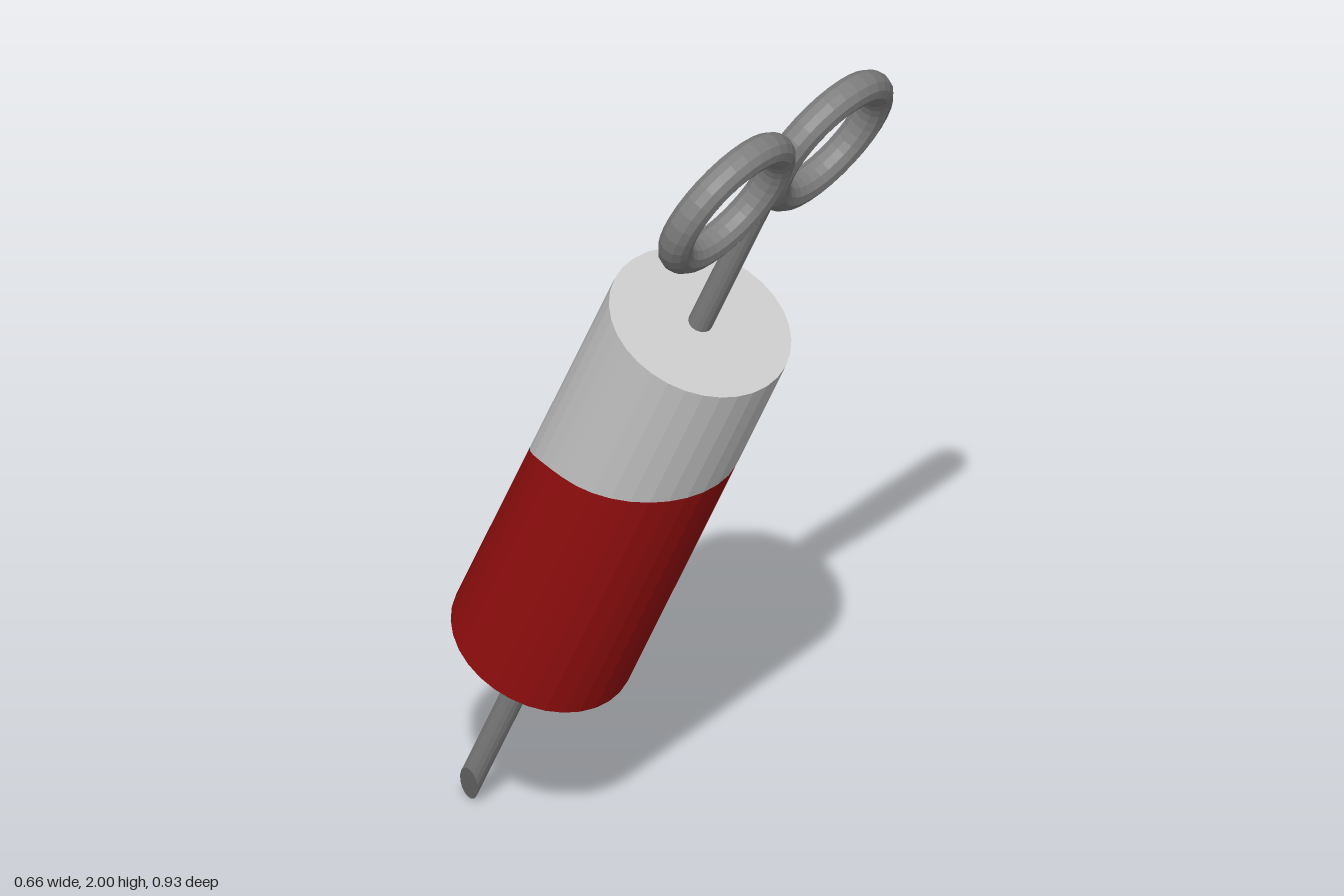
import * as THREE from 'three';

const TILT = 0.422;       // lean of the whole syringe towards the front
const BARREL_R = 0.191;
const HALF = 0.503;       // half length of the barrel
const ROD_R = 0.025;

const material = (color) => new THREE.MeshStandardMaterial({ color, flatShading: true });

function addMesh(parent, name, geometry, mat) {
  const mesh = new THREE.Mesh(geometry, mat);
  mesh.name = name;
  parent.add(mesh);
  return mesh;
}

// Height of the slanted liquid line on the barrel wall, dropping at the back
const liquidLevel = (x, z) => 0.118 + 0.37 * z + 0.05 * x - 15 * Math.pow(Math.max(0, -z), 3);

// Cylinder whose top (sign 1) or bottom (sign -1) end follows a height rule
function shapedCylinder(radius, sides, open, sign, otherEnd, rule) {
  const geo = new THREE.CylinderGeometry(radius, radius, 1, sides, 1, open);
  const p = geo.attributes.position;
  for (let i = 0; i < p.count; i++) {
    const shaped = p.getY(i) * sign > 0;
    p.setY(i, shaped ? rule(p.getX(i), p.getZ(i)) : otherEnd);
  }
  geo.computeVertexNormals();
  return geo;
}

export function createModel() {
  const model = new THREE.Group();
  model.name = 'syringe';
  const syringe = new THREE.Group();
  syringe.name = 'tiltedBody';
  syringe.position.set(0, 0.939, -0.034);
  syringe.rotation.x = TILT;
  model.add(syringe);

  const grey = material(0xcccccc);
  const red = material(0x990f10);
  const metal = material(0x808080);

  // Barrel: empty upper part and filled lower part meet at the liquid line
  const sections = [
    ['emptyBarrel', -1, HALF, grey],
    ['liquid', 1, -HALF, red],
  ];
  for (const [name, sign, end, mat] of sections) {
    mat.side = THREE.DoubleSide;
    addMesh(syringe, name, shapedCylinder(BARREL_R, 32, true, sign, end, liquidLevel), mat);
    const cap = addMesh(syringe, name + 'Cap', new THREE.CircleGeometry(BARREL_R, 32), mat);
    cap.position.y = end;
    cap.rotation.x = sign * Math.PI / 2;
  }

  // Needle with a bevelled tip
  const bevel = (x) => -0.968 - 0.059 * x / ROD_R;
  addMesh(syringe, 'needle', shapedCylinder(ROD_R, 16, false, -1, -HALF, bevel), metal);

  // Plunger rod rising to where the finger rings meet
  const rod = addMesh(syringe, 'plungerRod', new THREE.CylinderGeometry(ROD_R, ROD_R, 0.47, 16), metal);
  rod.position.y = HALF + 0.235;

  // Pair of finger rings
  for (const side of [-1, 1]) {
    const ring = addMesh(syringe, side > 0 ? 'leftFingerRing' : 'rightFingerRing',
      new THREE.TorusGeometry(0.143, 0.035, 12, 32), metal);
    ring.position.set(side * 0.15, 0.984, 0);
  }

  return model;
}
